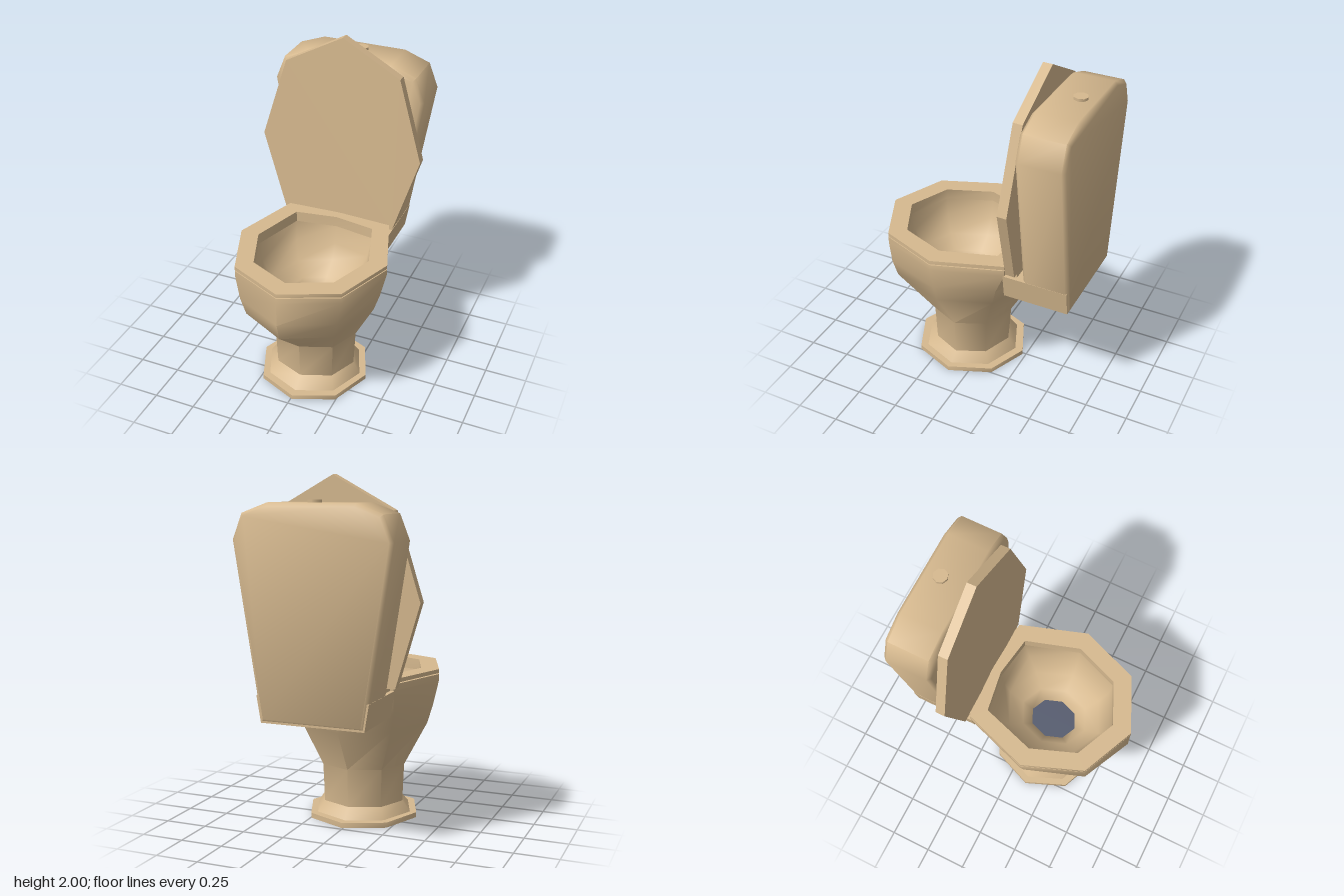
import * as THREE from 'three';
import { toCreasedNormals } from 'three/addons/utils/BufferGeometryUtils.js';

const SIDES = 8;
const CX = 0.01; // the body sits slightly off centre

// Eight-sided ring: height, half width, centre z, reach to front, reach to back, back limit
function ring(y, rx, zc, front, back, limit = -0.32) {
  const pts = [];
  for (let i = 0; i < SIDES; i++) {
    const a = (i / SIDES) * Math.PI * 2;
    const c = Math.cos(a);
    pts.push([CX + rx * Math.sin(a), y, Math.max(zc + c * (c > 0 ? front : back), limit)]);
  }
  return pts;
}

// Skin through rings; capStart / capEnd close the ends
function loft(rings, { capStart = false, capEnd = false, crease = 0.87 } = {}) {
  const idx = [];
  for (let r = 0; r < rings.length - 1; r++) {
    for (let i = 0; i < SIDES; i++) {
      const j = (i + 1) % SIDES;
      const a = r * SIDES + i, b = r * SIDES + j;
      idx.push(a, b, b + SIDES, a, b + SIDES, a + SIDES);
    }
  }
  const last = (rings.length - 1) * SIDES;
  for (let i = 1; i < SIDES - 1; i++) {
    if (capStart) idx.push(0, i + 1, i);
    if (capEnd) idx.push(last, last + i, last + i + 1);
  }
  const geo = new THREE.BufferGeometry();
  geo.setAttribute('position', new THREE.Float32BufferAttribute(rings.flat(2), 3));
  geo.setIndex(idx);
  return toCreasedNormals(geo, crease);
}

// Symmetric outline from its right half, listed bottom to top
function mirroredShape(half) {
  const left = half.filter(([x]) => x > 0).map(([x, y]) => [-x, y]).reverse();
  return new THREE.Shape([...half, ...left].map(([x, y]) => new THREE.Vector2(x, y)));
}

export function createModel() {
  const model = new THREE.Group();
  const ceramic = new THREE.MeshStandardMaterial({ color: 0xd6b98f });
  const slate = new THREE.MeshStandardMaterial({ color: 0x555b6e });

  const add = (name, geo, mat = ceramic) => {
    const mesh = new THREE.Mesh(geo, mat);
    mesh.name = name;
    model.add(mesh);
    return mesh;
  };

  // Foot plate and the flare above it
  add('footPlate', loft([
    ring(0, 0.335, 0.115, 0.345, 0.345),
    ring(0.03, 0.335, 0.115, 0.345, 0.345),
  ], { capStart: true, capEnd: true }));
  add('footFlare', loft([
    ring(0.03, 0.295, 0.115, 0.295, 0.295),
    ring(0.095, 0.25, 0.105, 0.235, 0.235),
  ]));

  // Pedestal swelling into the outside of the bowl
  add('bowlBody', loft([
    ring(0.095, 0.25, 0.105, 0.235, 0.235),
    ring(0.32, 0.26, 0.105, 0.245, 0.245),
    ring(0.57, 0.385, 0.15, 0.46, 0.43),
    ring(0.68, 0.42, 0.147, 0.49, 0.467),
    ring(0.83, 0.455, 0.147, 0.49, 0.56, -0.265),
    ring(0.866, 0.455, 0.147, 0.49, 0.56, -0.265),
    ring(0.866, 0.345, 0.147, 0.375, 0.45, -0.21),
  ]));

  // Seat ring with its opening
  add('seat', loft([
    ring(0.872, 0.345, 0.147, 0.375, 0.45, -0.21),
    ring(0.872, 0.455, 0.147, 0.49, 0.56, -0.265),
    ring(0.895, 0.455, 0.147, 0.49, 0.56, -0.265),
    ring(0.895, 0.345, 0.147, 0.375, 0.45, -0.21),
    ring(0.83, 0.345, 0.147, 0.375, 0.45, -0.21),
  ]));

  // Inside of the bowl, from the rim down to the water
  add('bowlInside', loft([
    ring(0.83, 0.345, 0.147, 0.375, 0.45, -0.21),
    ring(0.72, 0.325, 0.147, 0.36, 0.4, -0.19),
    ring(0.62, 0.265, 0.147, 0.3, 0.3),
    ring(0.55, 0.18, 0.147, 0.21, 0.21),
    ring(0.5, 0.125, 0.147, 0.145, 0.145),
    ring(0.47, 0.125, 0.147, 0.145, 0.145),
  ], { crease: 1.3 }));
  add('water', loft([
    ring(0.49, 0.127, 0.147, 0.148, 0.148),
    ring(0.495, 0.127, 0.147, 0.148, 0.148),
  ], { capEnd: true }), slate);

  // Shelf that carries the tank
  const shelf = add('tankShelf', new THREE.ExtrudeGeometry(
    mirroredShape([[0.3, 0.68], [0.325, 0.83]]), { depth: 0.385, bevelEnabled: false }));
  shelf.position.set(CX, 0, -0.625);

  // Hinge block behind the seat
  const hinge = add('hingeBlock', new THREE.BoxGeometry(0.6, 0.04, 0.07));
  hinge.position.set(CX, 0.843, -0.283);

  // Tank widening upward, with a softened front and back edge
  const bevel = 0.02;
  const tankGeo = new THREE.ExtrudeGeometry(
    mirroredShape([[0.3, 0.682], [0.455, 1.66], [0.4, 1.8], [0.25, 1.855]]),
    { depth: 0.275 - 2 * bevel, bevelThickness: bevel, bevelSize: bevel, bevelOffset: -bevel, bevelSegments: 1 });
  const tank = add('tank', toCreasedNormals(tankGeo, 0.95));
  tank.position.set(CX, 0, -0.635 + bevel);

  // Flush button
  const button = add('flushButton', new THREE.CylinderGeometry(0.041, 0.041, 0.02, 8));
  button.position.set(0.026, 1.86, -0.53);

  // Raised lid leaning back against the tank
  const lid = add('lid', new THREE.ExtrudeGeometry(
    mirroredShape([[0.345, 0], [0.49, 0.475], [0.345, 0.957], [0, 1.145]]),
    { depth: 0.055, bevelEnabled: false }));
  lid.position.set(0, 0.855, -0.318);
  lid.rotation.x = -0.034;

  return model;
}
